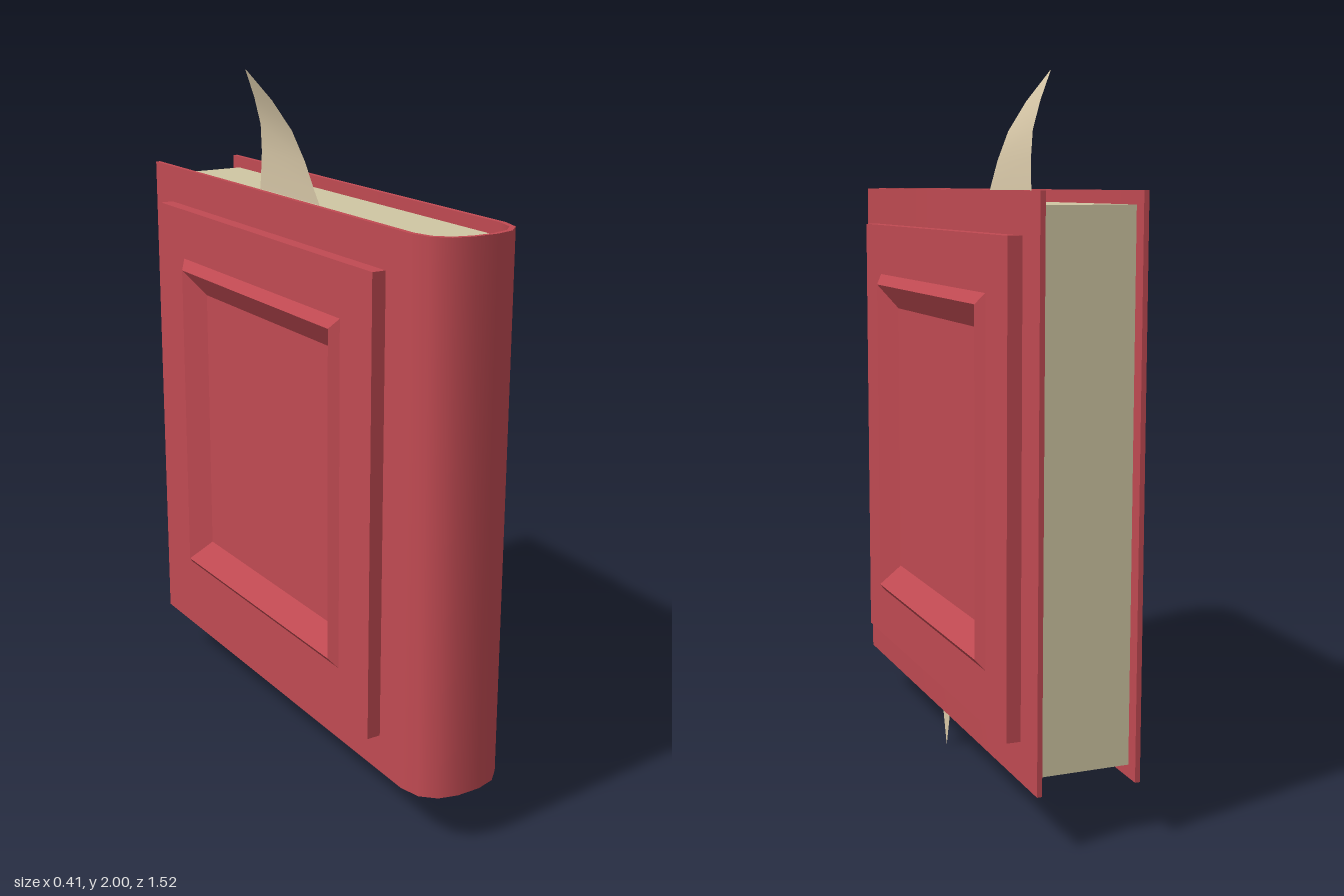
import * as THREE from 'three';
import { toCreasedNormals } from 'three/addons/utils/BufferGeometryUtils.js';

const coverMat = new THREE.MeshStandardMaterial({ color: 0xc04a52 });
const pageMat = new THREE.MeshStandardMaterial({ color: 0xcfc6a3 });
const markMat = new THREE.MeshStandardMaterial({ color: 0xd8c8a8, side: THREE.DoubleSide });

// Half outlines as [x, z], from the open edge round to the spine
const OUTER = [[0.145, -0.76], [0.145, 0.645], [0.129, 0.705], [0.09, 0.742], [0.035, 0.757]];
const INNER = [[0.131, -0.76], [0.131, 0.64], [0.117, 0.695], [0.083, 0.729], [0.03, 0.744]];

// Full U-shaped outline from a half, running from +x round the spine to -x
const mirrorOutline = (half) => [...half, ...half.slice().reverse().map(([x, z]) => [-x, z])];

// Stand an [x, z] outline up between two heights
function standUp(outline, y0, y1) {
  const shape = new THREE.Shape(outline.map(([x, z]) => new THREE.Vector2(x, -z)));
  const geo = new THREE.ExtrudeGeometry(shape, { depth: y1 - y0, bevelEnabled: false });
  geo.rotateX(-Math.PI / 2).translate(0, y0, 0);
  return toCreasedNormals(geo, 0.7);
}

// Stepped panel from nested rectangles [x, zMin, zMax, yMin, yMax]; side is +1 or -1
function panelGeometry(rings, side) {
  const loops = rings.map(([x, z0, z1, y0, y1]) =>
    [[z1, y0], [z0, y0], [z0, y1], [z1, y1]].map(([z, y]) => [x * side, y, z]));
  const pos = [];
  const quad = (a, b, c, d) => {
    if (side > 0) pos.push(...a, ...b, ...c, ...a, ...c, ...d);
    else pos.push(...a, ...c, ...b, ...a, ...d, ...c);
  };
  for (let i = 0; i < loops.length - 1; i++) {
    for (let k = 0; k < 4; k++) {
      const n = (k + 1) % 4;
      quad(loops[i][k], loops[i][n], loops[i + 1][n], loops[i + 1][k]);
    }
  }
  quad(...loops[loops.length - 1]);
  const geo = new THREE.BufferGeometry();
  geo.setAttribute('position', new THREE.Float32BufferAttribute(pos, 3));
  geo.computeVertexNormals();
  return geo;
}

// Thin ribbon through rows of [x, y, zFront, zBack]
function ribbonGeometry(rows) {
  const pos = [], index = [];
  rows.forEach(([x, y, zf, zb], i) => {
    pos.push(x, y, zf, x, y, zb);
    if (i) {
      const a = 2 * i - 2;
      index.push(a, a + 1, a + 3, a, a + 3, a + 2);
    }
  });
  const geo = new THREE.BufferGeometry();
  geo.setAttribute('position', new THREE.Float32BufferAttribute(pos, 3));
  geo.setIndex(index);
  geo.computeVertexNormals();
  return geo;
}

export function createModel() {
  const book = new THREE.Group();
  book.name = 'book';
  const add = (name, geo, mat) => {
    const mesh = new THREE.Mesh(geo, mat);
    mesh.name = name;
    book.add(mesh);
  };

  // Wrap-around cover with rounded spine
  const wrap = [...mirrorOutline(OUTER), ...mirrorOutline(INNER).reverse()];
  add('cover', standUp(wrap, 0.16, 1.68), coverMat);

  // Page block, set in from the cover edges
  const pages = mirrorOutline(INNER).map(([x, z]) => [x, Math.max(z, -0.72)]);
  add('pages', standUp(pages, 0.195, 1.645), pageMat);

  // Raised slab, bevelled frame and sunken centre on both boards
  const rings = [
    [0.14, -0.65, 0.54, 0.27, 1.57],
    [0.185, -0.65, 0.54, 0.27, 1.57],
    [0.185, -0.5, 0.39, 0.42, 1.42],
    [0.206, -0.475, 0.365, 0.445, 1.39],
    [0.157, -0.41, 0.305, 0.515, 1.32],
  ];
  add('leftPanel', panelGeometry(rings, 1), coverMat);
  add('rightPanel', panelGeometry(rings, -1), coverMat);

  // Bookmark: curled tip above, pointed tail below
  add('bookmarkTop', ribbonGeometry([
    [-0.02, 1.62, 0.04, -0.32],
    [-0.023, 1.68, 0, -0.305],
    [-0.028, 1.76, -0.045, -0.289],
    [-0.04, 1.84, -0.095, -0.273],
    [-0.069, 1.92, -0.155, -0.257],
    [-0.105, 2, -0.238, -0.242],
  ]), markMat);
  add('bookmarkTail', ribbonGeometry([
    [0.085, 0.22, 0.15, 0.025],
    [0.085, 0.16, 0.132, 0.04],
    [0.085, 0, 0.086, 0.084],
  ]), markMat);

  return book;
}
